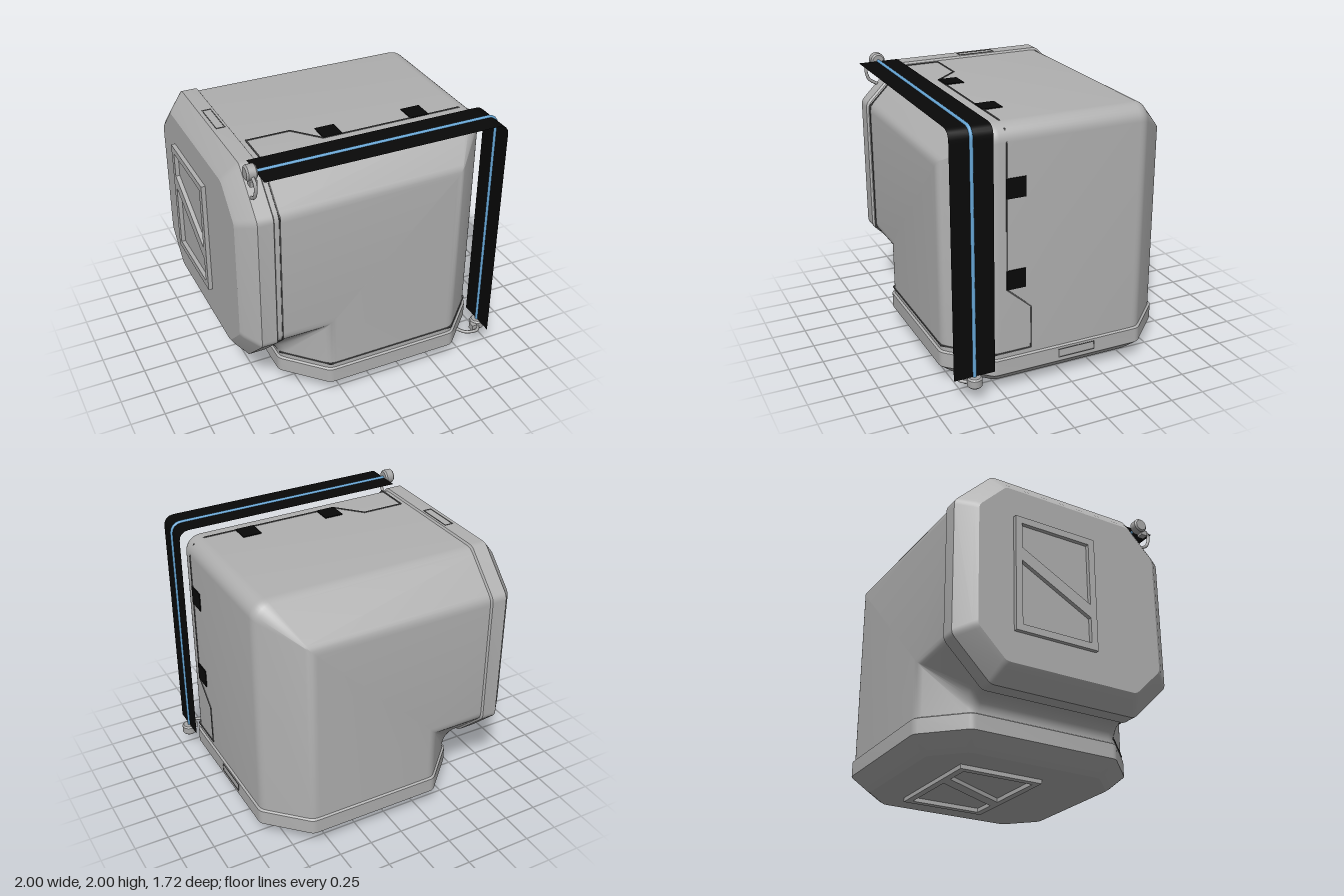
import * as THREE from 'three';
import { mergeGeometries, toCreasedNormals } from 'three/addons/utils/BufferGeometryUtils.js';

const V = (x, y, z) => new THREE.Vector3(x, y, z);

const mat = (name, color, side = THREE.FrontSide) => {
  const m = new THREE.MeshStandardMaterial({ color, side });
  m.name = name;
  return m;
};

// The elbow is symmetric about its mitre plane: swaps the bottom end and the side end
const MITRE = new THREE.Matrix4().set(0, 1, 0, -1.01, 1, 0, 0, 1.01, 0, 0, 1, 0, 0, 0, 0, 1);
function mirrored(geo) {
  const g = (geo.index ? geo.toNonIndexed() : geo.clone()).applyMatrix4(MITRE);
  for (const a of Object.values(g.attributes)) {
    const n = a.itemSize;
    for (let i = 0; i < a.count; i += 3) {
      for (let k = 0; k < n; k++) {
        const p = (i + 1) * n + k, q = (i + 2) * n + k, t = a.array[p];
        a.array[p] = a.array[q];
        a.array[q] = t;
      }
    }
  }
  return g;
}

// Octagonal duct section as [depth from outer wall, z], with softened corners
function octagon(inset, soft) {
  const c = 0.285 - 0.586 * inset, d0 = inset, d1 = 1.565 - inset, z0 = -0.86 + inset, z1 = 0.84 - inset;
  const pts = [
    [d0, z1 - c], [d0, z0 + c], [d0 + c, z0], [d1 - c, z0],
    [d1, z0 + c], [d1, z1 - c], [d1 - c, z1], [d0 + c, z1],
  ].map((p) => new THREE.Vector2(...p));
  const ring = [];
  pts.forEach((p, i) => {
    const a = pts[(i + 7) % 8].clone().sub(p).setLength(soft).add(p);
    const b = pts[(i + 1) % 8].clone().sub(p).setLength(soft).add(p);
    ring.push(...new THREE.QuadraticBezierCurve(a, p, b).getPoints(4));
  });
  return ring;
}

// Skin a list of closed rings of equal length
function loft(rings, crease = 0.5) {
  const n = rings[0].length, idx = [];
  for (let i = 0; i < rings.length - 1; i++) {
    for (let j = 0; j < n; j++) {
      const a = i * n + j, b = i * n + (j + 1) % n;
      idx.push(a, b, a + n, b, b + n, a + n);
    }
  }
  const g = new THREE.BufferGeometry().setFromPoints(rings.flat());
  g.setIndex(idx);
  g.computeVertexNormals();
  return toCreasedNormals(g, crease);
}

// Elbow: each section point runs up, round the corner and out to the side
function elbowGeometry() {
  const paths = octagon(0.015, 0.045).map(({ x: d, y: z }) => {
    const X = 0.92 - d, Y = 1.93 - d;
    const R = 0.004 + 0.116 * Math.max(0, 1 - d / 0.29, (d - 1.275) / 0.275);
    const path = [V(X, 0.235, z)];
    for (let k = 0; k <= 8; k++) {
      const t = (k / 8) * Math.PI / 2;
      path.push(V(X - R + R * Math.cos(t), Y - R + R * Math.sin(t), z));
    }
    path.push(V(-0.775, Y, z));
    return path;
  });
  return loft(paths[0].map((_, i) => paths.map((p) => p[i])));
}

// End collar with a bevelled closed face
function collarGeometry() {
  const profile = [[0.03, 0.13], [0.05, 0.1], [0.14, 0], [0.25, 0], [0.26, 0.016]];
  const rings = profile.map(([y, inset]) => octagon(inset, 0.03).map((p) => V(0.92 - p.x, y, p.y)));
  rings.unshift(rings[0].map(() => V(0.14, 0.03, -0.01)));
  return loft(rings);
}

// Raised end plate with two openings split by a diagonal bar
function plateGeometry(slope) {
  const poly = (pts, Type) => new Type(pts.map((p) => new THREE.Vector2(...p)));
  const shape = poly([[-0.43, -0.32], [0.43, -0.32], [0.43, 0.32], [-0.43, 0.32]], THREE.Shape);
  for (const s of [1, -1]) {
    shape.holes.push(poly([
      [s * 0.38, -0.27], [s * 0.38, 0.27],
      [slope * 0.27 + s * 0.05, 0.27], [-slope * 0.27 + s * 0.05, -0.27],
    ], THREE.Path));
  }
  return new THREE.ExtrudeGeometry(shape, { depth: 0.03, bevelEnabled: false })
    .rotateX(Math.PI / 2).translate(0.14, 0.03, -0.145);
}

// Thin square line along a path of points
function lineGeometry(points, width) {
  const bars = [];
  for (let i = 0; i < points.length - 1; i++) {
    const a = points[i], b = points[i + 1], o = new THREE.Object3D();
    o.position.copy(a).add(b).multiplyScalar(0.5);
    o.lookAt(b);
    o.updateMatrix();
    bars.push(new THREE.BoxGeometry(width, width, a.distanceTo(b) + width * 0.5).applyMatrix4(o.matrix));
  }
  return mergeGeometries(bars);
}

export function createModel() {
  const model = new THREE.Group();
  model.name = 'ductElbow';
  const shell = mat('shellGrey', 0xb0b0b0);
  const metal = mat('clampGrey', 0xa8a8a8);
  const seam = mat('seamGrey', 0x505050);
  const black = mat('matteBlack', 0x080808, THREE.DoubleSide);
  const blue = mat('cableBlue', 0x66a6d6);

  const add = (name, geo, material) => {
    const m = new THREE.Mesh(geo, material);
    m.name = name;
    model.add(m);
  };
  const pair = (name, geo, material) => {
    add(name + 'Bottom', geo, material);
    add(name + 'Side', mirrored(geo), material);
  };

  add('elbowBody', elbowGeometry(), shell);
  pair('collar', collarGeometry(), shell);
  add('endPlateBottom', plateGeometry(0.53), shell);
  add('endPlateSide', mirrored(plateGeometry(-0.53)), shell);

  // Door seam across the wall and round the front
  const s = 0.297, w = 0.905;
  pair('doorSeam', lineGeometry([
    V(0.87, 1.88, 0.455), V(w, 1.795, 0.455), V(w, 0.77, 0.455), V(w, 0.61, 0.275), V(w, s, 0.275),
    V(w, s, 0.549), V(0.629, s, 0.825), V(-0.354, s, 0.825), V(-0.63, s, 0.549),
  ], 0.01), seam);

  // Latch outline on each collar
  pair('latchOutline', lineGeometry([
    V(0.92, 0.17, -0.215), V(0.92, 0.23, -0.215), V(0.92, 0.23, 0.065), V(0.92, 0.17, 0.065), V(0.92, 0.17, -0.215),
  ], 0.006), seam);

  // Hinge pads
  [0.84, 1.49].forEach((y, i) => {
    pair('hingePad' + (i + 1), new THREE.BoxGeometry(0.008, 0.14, 0.14).translate(0.908, y, 0.39), black);
  });

  // Cable and the flat band it runs along
  const route = new THREE.CurvePath();
  route.add(new THREE.LineCurve3(V(-0.82, 1.945, 0.71), V(0.855, 1.945, 0.71)));
  route.add(new THREE.QuadraticBezierCurve3(V(0.855, 1.945, 0.71), V(0.935, 1.945, 0.71), V(0.935, 1.865, 0.71)));
  route.add(new THREE.LineCurve3(V(0.935, 1.865, 0.71), V(0.935, 0.19, 0.71)));
  add('cable', new THREE.TubeGeometry(route, 140, 0.013, 10), blue);

  const band = new THREE.PlaneGeometry(1, 1, 140, 1);
  const pos = band.attributes.position;
  for (let i = 0; i < pos.count; i++) {
    const p = route.getPointAt(THREE.MathUtils.clamp(pos.getX(i) + 0.5, 0, 1));
    pos.setXYZ(i, p.x, p.y, 0.71 - pos.getY(i) * 0.3);
  }
  band.computeVertexNormals();
  add('band', band, black);

  // Cable clamps: rounded knob, neck and hooked stem
  const knob = [[0, -0.037], [0.042, -0.037], [0.053, -0.026], [0.053, 0.026], [0.042, 0.037], [0, 0.037]];
  pair('clampKnob', toCreasedNormals(new THREE.LatheGeometry(knob.map((p) => new THREE.Vector2(...p)), 24), 0.5)
    .translate(0.938, 0.155, 0.71), metal);
  pair('clampNeck', new THREE.BoxGeometry(0.04, 0.05, 0.05).translate(0.885, 0.155, 0.745), metal);
  const hook = new THREE.CatmullRomCurve3([
    V(0.93, 0.155, 0.74), V(0.89, 0.155, 0.795), V(0.8, 0.155, 0.78), V(0.75, 0.155, 0.71),
  ]);
  pair('clampStem', new THREE.TubeGeometry(hook, 20, 0.012, 8), metal);

  return model;
}
